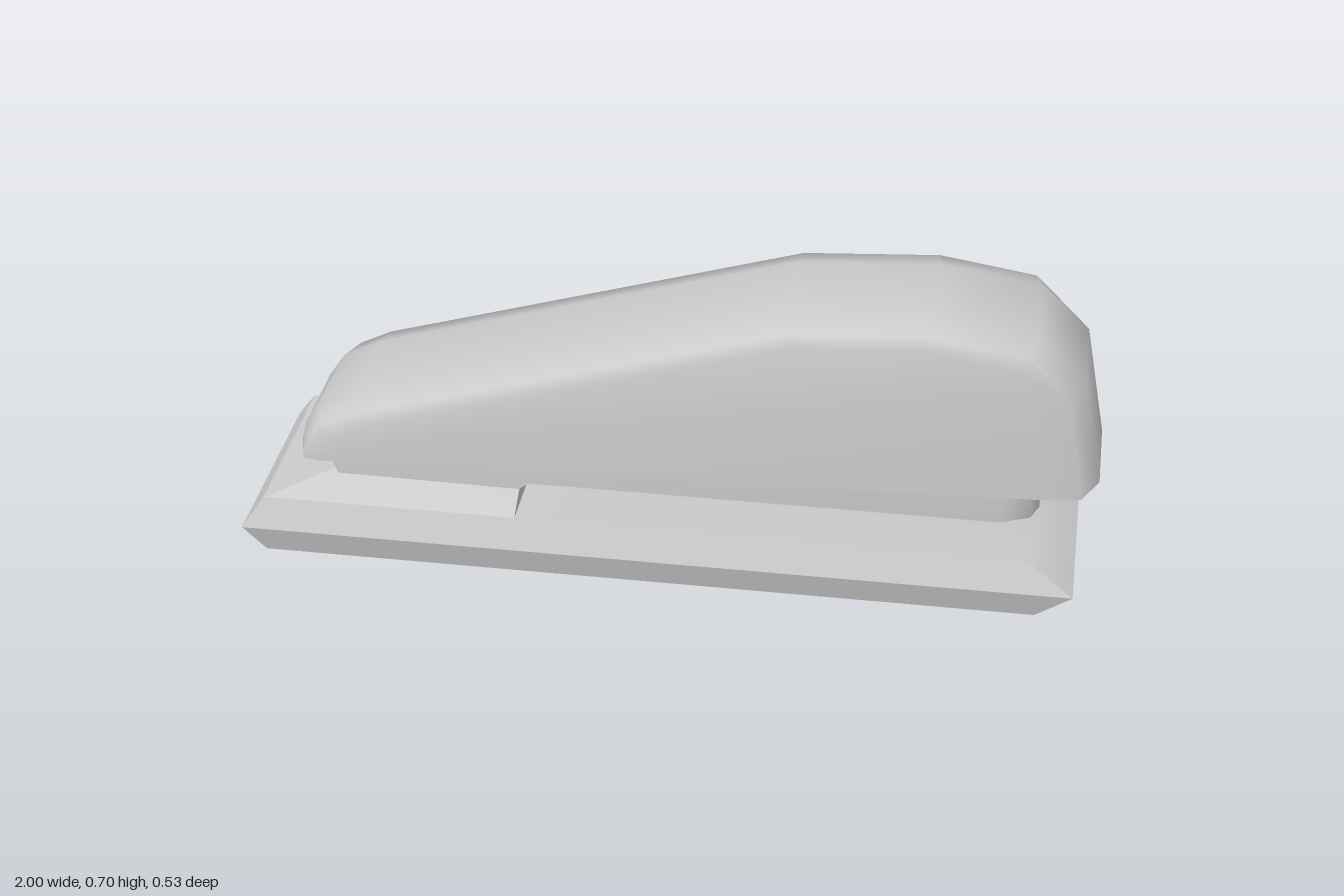
import * as THREE from 'three';
import { toCreasedNormals } from 'three/addons/utils/BufferGeometryUtils.js';

const material = new THREE.MeshStandardMaterial({ color: 0xcccccc });

// Closed solid through convex rings; rings run counter-clockwise seen from the last one
function loft(name, rings, creaseDegrees) {
  const n = rings[0].length, last = (rings.length - 1) * n, index = [];
  for (let r = 0; r < last; r += n) {
    for (let j = 0; j < n; j++) {
      const k = (j + 1) % n;
      index.push(r + j, r + k, r + n + k, r + j, r + n + k, r + n + j);
    }
  }
  for (let j = 1; j < n - 1; j++) {
    index.push(0, j + 1, j, last, last + j, last + j + 1);
  }
  const geometry = new THREE.BufferGeometry();
  geometry.setAttribute('position', new THREE.Float32BufferAttribute(rings.flat(2), 3));
  geometry.setIndex(index);
  const mesh = new THREE.Mesh(toCreasedNormals(geometry, THREE.MathUtils.degToRad(creaseDegrees)), material);
  mesh.name = name;
  return mesh;
}

// Horizontal rectangle; y may differ at its two ends
const rect = (x0, x1, z, y0, y1 = y0) => [[x0, y0, -z], [x0, y0, z], [x1, y1, z], [x1, y1, -z]];

export function createModel() {
  const group = new THREE.Group();

  // Base plate with bevelled rim, and the raised rear block
  group.add(loft('basePlate', [
    rect(-0.95, 0.875, 0.243, 0),
    rect(-1, 0.96, 0.265, 0.07),
    rect(-0.95, 0.85, 0.237, 0.142),
  ], 35));
  group.add(loft('baseRiser', [
    rect(-0.95, -0.345, 0.237, 0.141),
    rect(-0.78, -0.345, 0.157, 0.197, 0.188),
  ], 35));

  // Hinge bracket between riser and cover
  const bracket = [[-0.78, 0.19], [-0.345, 0.186], [-0.25, 0.252], [-0.8, 0.245]];
  group.add(loft('hingeBracket', [-0.178, 0.178].map(z => bracket.map(([x, y]) => [x, y, z])), 30));

  // Staple magazine with a chamfered nose
  const plan = [[-0.78, -0.172], [-0.78, 0.172], [0.78, 0.172], [0.85, 0.14],
    [0.868, 0.09], [0.868, -0.09], [0.85, -0.14], [0.78, -0.172]];
  group.add(loft('magazine', [0.2, 0.31].map(y => plan.map(([x, z]) => [x, y, z])), 50));

  // Cover: side profile on the middle and, shrunk, on the flanks
  const middle = [[-0.88, 0.235], [1, 0.295], [0.95, 0.565], [0.84, 0.67], [0.6, 0.705],
    [0.27, 0.685], [-0.74, 0.385], [-0.83, 0.34], [-0.87, 0.28]];
  const flank = [[-0.815, 0.237], [0.89, 0.292], [0.86, 0.535], [0.785, 0.62], [0.585, 0.655],
    [0.285, 0.635], [-0.72, 0.337], [-0.775, 0.31], [-0.805, 0.273]];
  const sections = [[-0.205, 1], [-0.195, 0.36], [-0.115, 0], [0.115, 0], [0.195, 0.36], [0.205, 1]];
  group.add(loft('topCover', sections.map(([z, t]) => middle.map(([x, y], i) => [
    THREE.MathUtils.lerp(x, flank[i][0], t),
    THREE.MathUtils.lerp(y, flank[i][1], t),
    z,
  ])), 62));

  return group;
}
